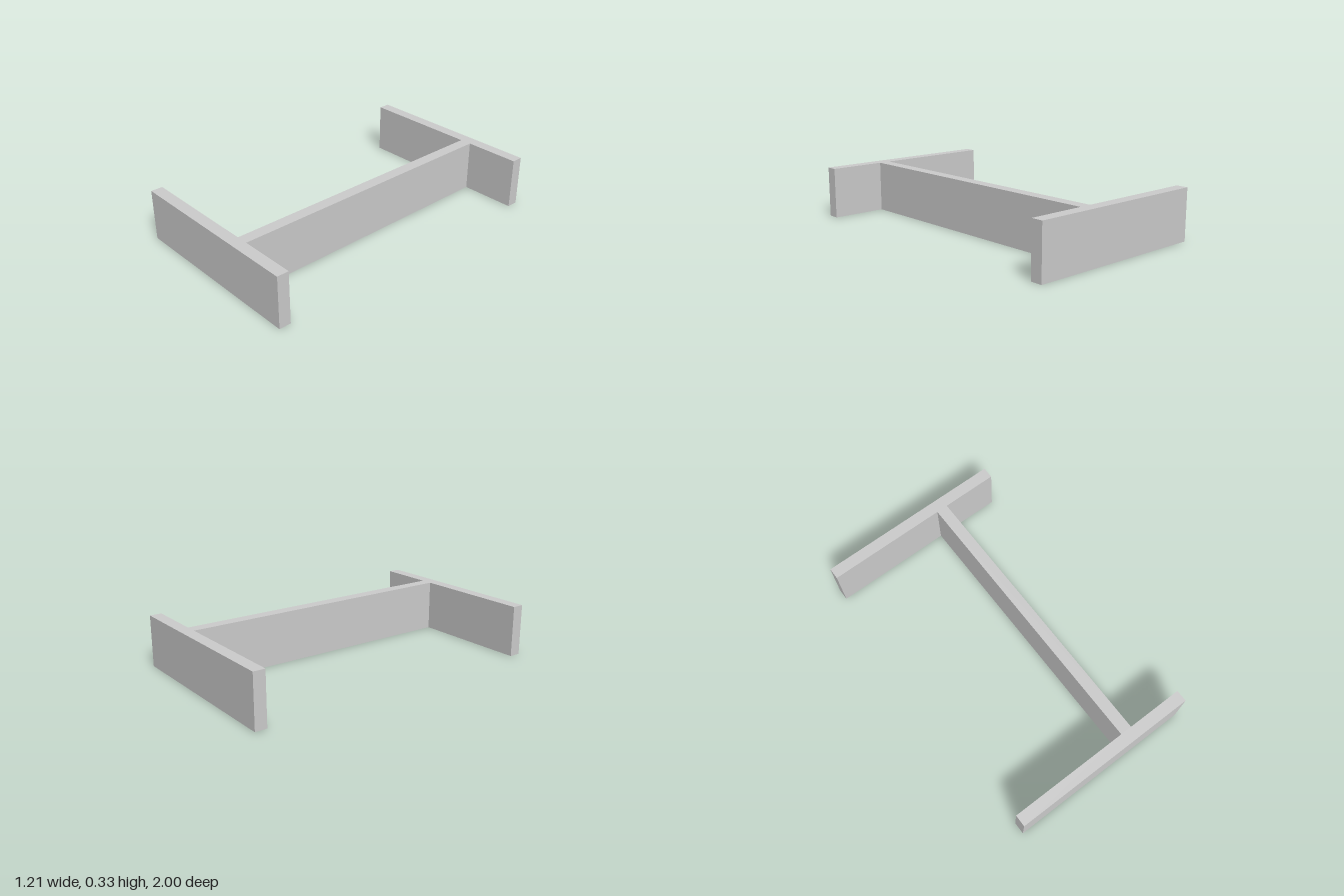
import * as THREE from 'three';

const HEIGHT = 0.33;
const HALF_WIDTH = 0.607, FLANGE_INNER = 0.925; // end plates
const WEB_MIN = 0.17, WEB_MAX = 0.245;          // off-centre web
const GAP_BACK = -0.41, GAP_FRONT = -0.29;      // opening under the web

const material = new THREE.MeshStandardMaterial({ color: 0xcccccc, side: THREE.DoubleSide, flatShading: true });

// Flat cap from (x, z) points, facing up or down at height y
function cap(name, points, y, up) {
  const shape = new THREE.Shape(points.map(([x, z]) => new THREE.Vector2(x, up ? -z : z)));
  const geometry = new THREE.ShapeGeometry(shape);
  geometry.rotateX(up ? -Math.PI / 2 : Math.PI / 2);
  geometry.translate(0, y, 0);
  const mesh = new THREE.Mesh(geometry, material);
  mesh.name = name;
  return mesh;
}

// Vertical walls following the outline
function walls(name, points) {
  const positions = [];
  points.forEach(([ax, az], i) => {
    const [bx, bz] = points[(i + 1) % points.length];
    positions.push(ax, 0, az, ax, HEIGHT, az, bx, HEIGHT, bz);
    positions.push(ax, 0, az, bx, HEIGHT, bz, bx, 0, bz);
  });
  const geometry = new THREE.BufferGeometry();
  geometry.setAttribute('position', new THREE.Float32BufferAttribute(positions, 3));
  geometry.computeVertexNormals();
  const mesh = new THREE.Mesh(geometry, material);
  mesh.name = name;
  return mesh;
}

export function createModel() {
  const group = new THREE.Group();
  group.name = 'beam';

  // Back end plate and front end plate halves of the I-shaped outline
  const backStart = [[WEB_MIN, -FLANGE_INNER], [-HALF_WIDTH, -FLANGE_INNER], [-HALF_WIDTH, -1],
    [HALF_WIDTH, -1], [HALF_WIDTH, -FLANGE_INNER], [WEB_MAX, -FLANGE_INNER]];
  const front = [[WEB_MAX, FLANGE_INNER], [HALF_WIDTH, FLANGE_INNER], [HALF_WIDTH, 1],
    [-HALF_WIDTH, 1], [-HALF_WIDTH, FLANGE_INNER], [WEB_MIN, FLANGE_INNER]];
  const outline = [...backStart, ...front];

  group.add(walls('sideWalls', outline));
  group.add(cap('topFace', outline, HEIGHT, true));

  // Underside in two pieces, leaving the small opening in the web
  group.add(cap('backUnderside', [...backStart, [WEB_MAX, GAP_BACK], [WEB_MIN, GAP_BACK]], 0, false));
  group.add(cap('frontUnderside', [...front, [WEB_MIN, GAP_FRONT], [WEB_MAX, GAP_FRONT]], 0, false));
  return group;
}
